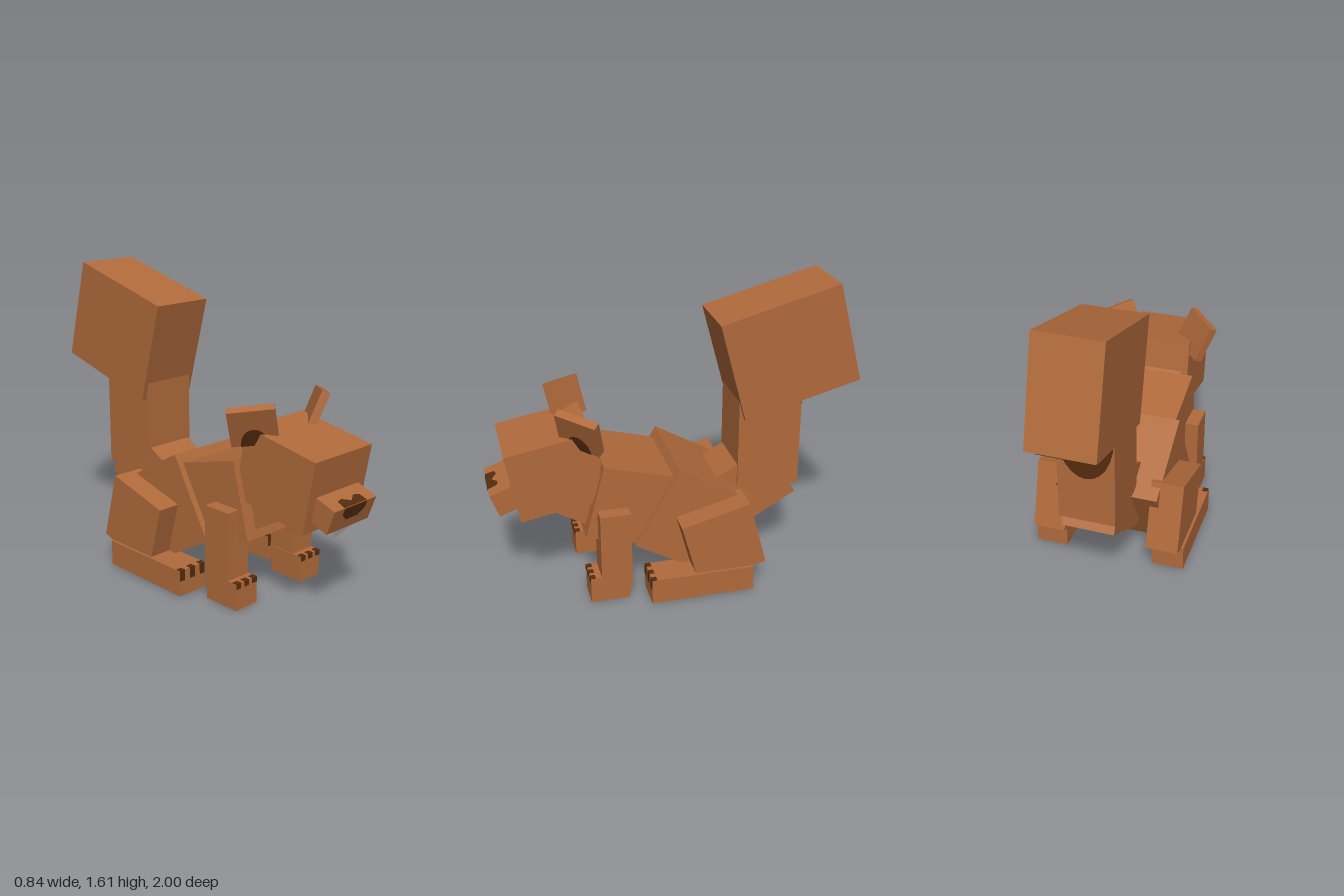
import * as THREE from 'three';

const brown = new THREE.MeshStandardMaterial({ color: 0xb06a3b });
brown.name = 'russet fur';
const dark = new THREE.MeshStandardMaterial({ color: 0x552c0e, side: THREE.DoubleSide });
dark.name = 'dark markings';
const grey = new THREE.MeshStandardMaterial({ color: 0x9a9294, side: THREE.DoubleSide });
grey.name = 'grey lip';

const EPS = 0.003;
const deg = THREE.MathUtils.degToRad;

// Box part: size [x, y, z], centre [x, y, z], pitch in degrees
function block(parent, name, size, pos, pitch = 0, mat = brown) {
  const mesh = new THREE.Mesh(new THREE.BoxGeometry(...size), mat);
  mesh.name = name;
  mesh.position.set(...pos);
  mesh.rotation.x = deg(pitch);
  parent.add(mesh);
  return mesh;
}

// Flat marking lying just above one face of a part
function marking(parent, name, pts, pos, rot = [0, 0, 0], mat = dark) {
  const shape = new THREE.Shape(pts.map(([x, y]) => new THREE.Vector2(x, y)));
  const mesh = new THREE.Mesh(new THREE.ShapeGeometry(shape), mat);
  mesh.name = name;
  mesh.position.set(...pos);
  mesh.rotation.set(...rot);
  parent.add(mesh);
  return mesh;
}

// Rounded outline: arc of an ellipse between two angles
function arc(rx, ry, from = 0, to = 360, n = 12) {
  return Array.from({ length: n + 1 }, (_, i) => {
    const a = deg(from + ((to - from) * i) / n);
    return [rx * Math.cos(a), ry * Math.sin(a)];
  });
}

// Foot with claws on the upper front edge
function foot(parent, name, size, pos, clawHeight) {
  const f = block(parent, name, size, pos);
  const [w, h, d] = size;
  for (const i of [-1, 0, 1]) {
    block(f, 'claw', [0.032, clawHeight, 0.03],
      [i * (w / 2 - 0.018), h / 2 - clawHeight / 2 + EPS, d / 2 - 0.015 + EPS], 0, dark);
  }
  marking(f, 'pawPad', arc(w * 0.27, Math.min(d * 0.25, 0.06)),
    [0, -h / 2 - 0.001, d * 0.08], [Math.PI / 2, 0, 0]);
  return f;
}

export function createModel() {
  const model = new THREE.Group();
  model.name = 'longTailedAnimal';

  // Torso, chest and neck
  const hips = block(model, 'hips', [0.56, 0.482, 0.487], [0, 0.374, -0.067], -30);
  block(model, 'chest', [0.49, 0.415, 0.4], [0, 0.505, 0.278], -15);
  block(model, 'neck', [0.35, 0.35, 0.3], [0, 0.604, 0.515], -30);
  for (const s of [-1, 1]) {
    marking(hips, 'bellySpot', arc(0.04, 0.04),
      [s * 0.17, -0.241 - EPS, -0.2], [Math.PI / 2, 0, 0]);
  }

  // Head and snout
  block(model, 'head', [0.42, 0.386, 0.457], [0, 0.71, 0.661], 10);
  const snout = block(model, 'snout', [0.314, 0.134, 0.13], [0, 0.585, 0.916], 20);
  marking(snout, 'noseFront',
    [[-0.085, 0.067], [-0.085, 0.03], [-0.045, -0.008], [0.045, -0.008], [0.085, 0.03], [0.085, 0.067]],
    [0, 0, 0.065 + EPS]);
  marking(snout, 'noseTop',
    [[-0.085, 0], [0.085, 0], [0.08, 0.05], [0.045, 0.06], [0, 0.03], [-0.045, 0.06], [-0.08, 0.05]],
    [0, 0.067 + EPS, 0.065], [-Math.PI / 2, 0, 0]);
  marking(model, 'lip', [[-0.09, 0.45], [0.07, 0.5], [-0.09, 0.5]], [0, 0, 0.94], [0, 0, 0], grey);

  // Ears: plates turned outward and leaning away from the head
  const across = new THREE.Vector3(0.66, -0.125, -0.74).normalize();
  const normal = across.clone().cross(new THREE.Vector3(0.38, 0.915, 0.15)).normalize();
  const up = normal.clone().cross(across);
  const tilt = new THREE.Euler().setFromRotationMatrix(
    new THREE.Matrix4().makeBasis(across, up, normal));

  for (const s of [-1, 1]) {
    const side = s > 0 ? 'left' : 'right';
    const ear = block(model, side + 'Ear', [0.235, 0.21, 0.045], [s * 0.229, 0.962, 0.535]);
    ear.rotation.set(tilt.x, s * tilt.y, s * tilt.z);
    marking(ear, 'innerEar', arc(0.07, 0.1, 0, 180), [0, -0.105, 0.0225 + EPS]);

    // Front leg and paw
    block(model, side + 'FrontLeg', [0.145, 0.45, 0.165], [s * 0.2475, 0.285, 0.378]);
    foot(model, side + 'FrontFoot', [0.15, 0.145, 0.21], [s * 0.245, 0.0725, 0.415], 0.03);

    // Hind leg and long foot
    block(model, side + 'Haunch', [0.175, 0.38, 0.38], [s * 0.3175, 0.297, -0.188], 15);
    foot(model, side + 'HindFoot', [0.175, 0.14, 0.56], [s * 0.332, 0.076, -0.07], 0.06);
  }

  // Tail: rising base, upright middle, large tilted tip
  block(model, 'tailBase', [0.28, 0.353, 0.46], [0, 0.455, -0.385], 30);
  const middle = block(model, 'tailMiddle', [0.3, 0.58, 0.348], [0, 0.77, -0.506]);
  const tip = block(model, 'tailTip', [0.35, 0.56, 0.66], [0, 1.255, -0.605], 15);
  marking(middle, 'tailPatch', arc(0.148, 0.25, 180, 360),
    [0, 0.22, -0.174 - EPS], [0, Math.PI, 0]);
  marking(tip, 'tipPatch', arc(0.12, 0.09, 0, 180),
    [0, -0.28 - EPS, -0.33], [Math.PI / 2, 0, 0]);

  return model;
}
